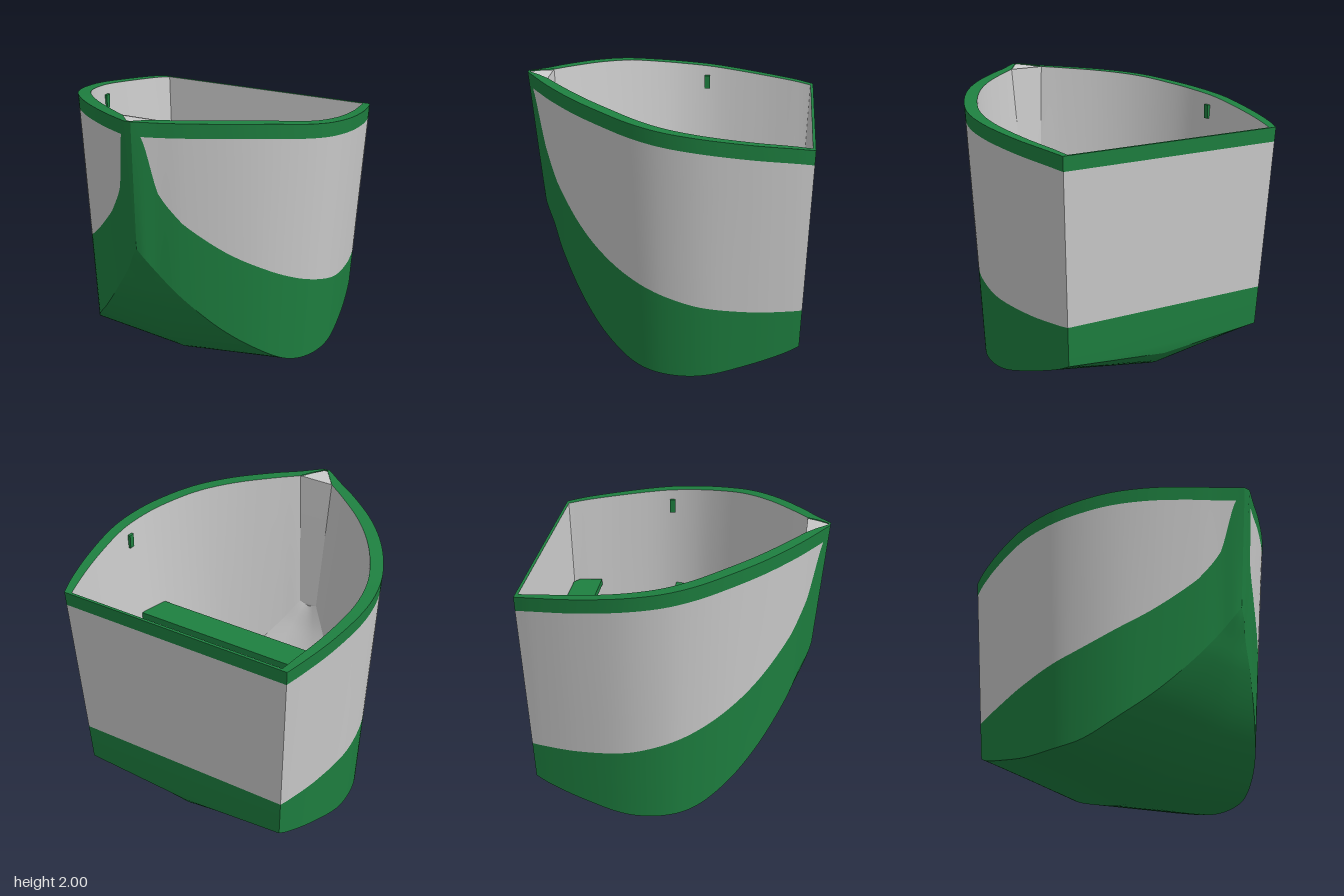
import * as THREE from 'three';

const V = (x, y, z) => new THREE.Vector3(x, y, z);
const grey = new THREE.MeshStandardMaterial({ color: 0xcccccc, side: THREE.DoubleSide });
const green = new THREE.MeshStandardMaterial({ color: 0x1e8040, side: THREE.DoubleSide });

// Hull stations, stern to bow: sheer x y z, paint line y, chine x y z, keel y z
const STATIONS = [
  [0.86, 1.735, -1.0, 0.60, 0.78, 0.33, -0.935, 0.26, -0.92],
  [0.90, 1.755, -0.88, 0.60, 0.80, 0.29, -0.85, 0.19, -0.86],
  [0.965, 1.79, -0.6, 0.61, 0.85, 0.21, -0.6, 0.085, -0.6],
  [1.0, 1.835, -0.25, 0.65, 0.885, 0.13, -0.27, 0.005, -0.27],
  [0.965, 1.865, 0.0, 0.72, 0.85, 0.125, 0.0, 0.03, 0.0],
  [0.885, 1.895, 0.2, 0.79, 0.77, 0.16, 0.18, 0.085, 0.2],
  [0.755, 1.93, 0.4, 0.90, 0.64, 0.29, 0.38, 0.22, 0.41],
  [0.57, 1.955, 0.6, 1.05, 0.45, 0.48, 0.57, 0.43, 0.6],
  [0.32, 1.975, 0.8, 1.28, 0.23, 0.75, 0.75, 0.71, 0.77],
  [0.17, 1.985, 0.9, 1.50, 0.11, 0.92, 0.83, 0.88, 0.84],
  [0.075, 1.995, 0.965, 1.895, 0.04, 1.04, 0.89, 1.02, 0.89],
  [0.025, 2.0, 1.0, 1.9, 0, 1.1, 0.91, 1.1, 0.91],
];
const LAST = STATIONS.length - 1;
const STEPS = LAST * 6;
const track = (f) => new THREE.CatmullRomCurve3(STATIONS.map(f));
const sheerTrack = track((s) => V(s[0], s[1], s[2]));
const chineTrack = track((s) => V(s[4], s[5], s[6]));
const keelTrack = track((s) => V(0, s[7], s[8]));
const paintTrack = track((s, i) => V(i * 0.2, s[3], 0));

// Surface through rows of points
function surface(rows) {
  const w = rows[0].length, pos = [], idx = [];
  rows.forEach((r) => r.forEach((p) => pos.push(p.x, p.y, p.z)));
  for (let i = 0; i < rows.length - 1; i++) {
    for (let j = 0; j < w - 1; j++) {
      const a = i * w + j, b = a + w;
      idx.push(a, b, a + 1, b, b + 1, a + 1);
    }
  }
  const g = new THREE.BufferGeometry();
  g.setAttribute('position', new THREE.Float32BufferAttribute(pos, 3));
  g.setIndex(idx);
  g.computeVertexNormals();
  return g;
}

const mirror = (p) => V(-p.x, p.y, p.z);
const mid = (a, b, t) => a.clone().lerp(b, t);

// All points of one cross-section on the left half
function section(t) {
  const S = sheerTrack.getPoint(t), C = chineTrack.getPoint(t), K = keelTrack.getPoint(t);
  const onSide = (y) => mid(S, C, (S.y - y) / (S.y - C.y));
  const B = onSide(S.y - 0.1);
  const W = onSide(Math.min(paintTrack.getPoint(t).y, S.y - 0.1));
  // inner skin, offset square to the sheer line
  const tan = sheerTrack.getTangent(t).setY(0).normalize();
  const inward = V(-tan.z, 0, tan.x).multiplyScalar(0.05 + 0.04 * Math.sin(Math.PI * t));
  const clear = (p) => p.setZ(Math.max(p.z, -0.98 + (1.735 - p.y) * 0.046));
  const I = clear(S.clone().add(inward));
  const F = clear(C.clone().add(inward).add(V(0, 0.05, 0)));
  const Kin = clear(K.clone().add(V(0, 0.06, inward.z)));
  return { S, B, W, C, K, I, F, Kin };
}

export function createModel() {
  const boat = new THREE.Group();
  boat.name = 'boat';
  const add = (name, geo, mat) => {
    const m = new THREE.Mesh(geo, mat);
    m.name = name;
    boat.add(m);
    return m;
  };

  const hull = Array.from({ length: STEPS + 1 }, (_, i) => section(i / STEPS));
  const innerEnd = (LAST - 2) * 6;
  const inner = hull.slice(0, innerEnd + 1);
  const stern = hull[0], bow = hull[STEPS], cap = hull[innerEnd];

  // Rim closes in a point ahead of the inner skin
  for (let i = innerEnd + 1; i <= STEPS; i++) {
    const f = (i - innerEnd) / (STEPS - innerEnd);
    hull[i].I = mid(cap.I, V(0.012, 2, 0.985), f).setY(hull[i].S.y);
  }

  // Sides, rim and inner walls, mirrored
  for (const [side, m] of [['left', (p) => p], ['right', mirror]]) {
    const strip = (list, a, b, n = 1) => surface(list.map((s) =>
      Array.from({ length: n + 1 }, (_, j) => m(mid(s[a], s[b], j / n)))));
    add(side + 'RubBand', strip(hull, 'S', 'B'), green);
    add(side + 'Topside', strip(hull.slice(0, LAST * 6 - 5), 'B', 'W', 4), grey);
    add(side + 'LowerSide', strip(hull, 'W', 'C', 4), green);
    add(side + 'RimTop', strip(hull, 'S', 'I'), green);
    add(side + 'InnerWall', strip(inner, 'I', 'F', 4), grey);
  }

  // Bottom and inside floor
  const across = (list, a, k) => surface(list.map((s) =>
    [s[a], mid(s[a], s[k], 0.5), s[k], mirror(mid(s[a], s[k], 0.5)), mirror(s[a])]));
  add('bottom', across(hull, 'C', 'K'), green);
  add('floor', across(inner, 'F', 'Kin'), grey);

  // Flat panels across the boat
  const panel = (name, mat, ...pts) => add(name, surface(pts.map((p) => [p, mirror(p)])), mat);
  panel('transomBand', green, stern.S, stern.B);
  panel('transom', grey, stern.B, stern.W);
  panel('transomLower', green, stern.W, stern.C, stern.K);
  panel('transomRim', green, stern.S, stern.I);
  panel('transomInside', grey, stern.I, stern.F, stern.Kin);
  panel('stemFace', green, bow.S, bow.C);
  panel('bowBulkhead', grey, cap.I, cap.F, cap.Kin);
  panel('bowDeck', grey, ...hull.slice(innerEnd).map((s) => s.I.clone().add(V(0, -0.004, 0))));
  panel('stemCap', green, bow.S, bow.I);

  // Bench seats from half outlines (x, z)
  const seat = (name, half, y) => {
    const pts = [...half, ...half.slice().reverse().map(([x, z]) => [-x, z])];
    const shape = new THREE.Shape(pts.map(([x, z]) => new THREE.Vector2(x, -z)));
    const geo = new THREE.ExtrudeGeometry(shape, { depth: 0.05, bevelEnabled: false });
    add(name, geo.rotateX(-Math.PI / 2).translate(0, y, 0), green);
  };
  seat('sternSeat', [[0.8, -0.74], [0.785, -0.85], [0.77, -0.91], [0.72, -0.945]], 1.08);
  seat('middleSeat', [[0.81, 0.045], [0.86, -0.17]], 1.06);

  // Oar sockets on the inner walls
  for (const s of [1, -1]) {
    const geo = new THREE.BoxGeometry(0.02, 0.1, 0.04);
    add(s > 0 ? 'leftOarSocket' : 'rightOarSocket', geo, green).position.set(s * 0.9, 1.72, -0.2);
  }
  return boat;
}
